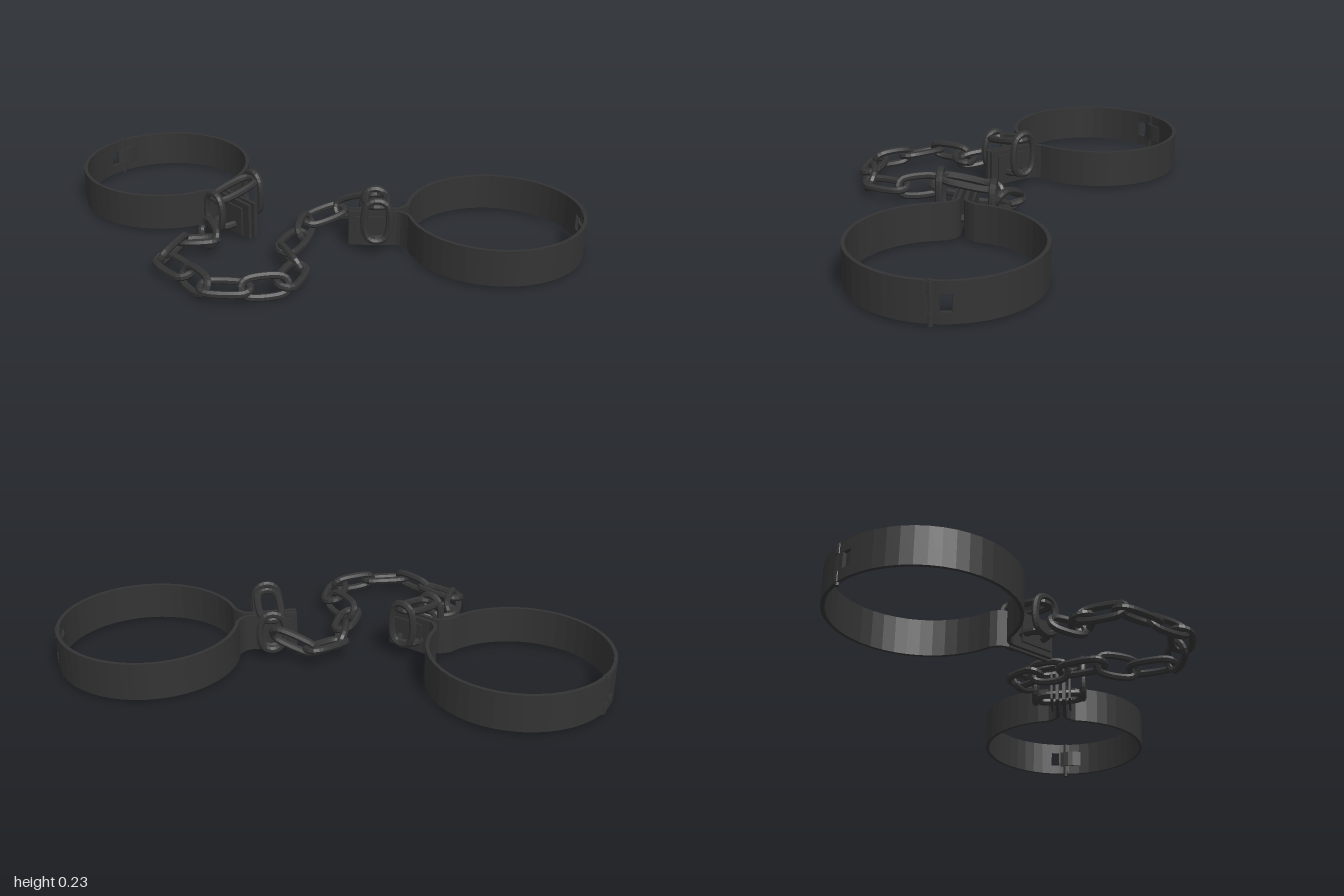
import * as THREE from 'three';

const iron = new THREE.MeshStandardMaterial({ color: 0x333333, flatShading: true });
const R = 0.323, Y0 = 0.01, Y1 = 0.147;

function part(name, geometry) {
  const mesh = new THREE.Mesh(geometry, iron);
  mesh.name = name;
  return mesh;
}

// Upright strip of metal that follows a plan path (x, -z)
function strip(name, points, thick, y0, y1) {
  const side = s => points.map((p, i) => {
    const a = points[Math.max(i - 1, 0)], b = points[Math.min(i + 1, points.length - 1)];
    const d = b.clone().sub(a).normalize();
    return new THREE.Vector2(p.x - d.y * s, p.y + d.x * s);
  });
  const shape = new THREE.Shape([...side(thick / 2), ...side(-thick / 2).reverse()]);
  const geo = new THREE.ExtrudeGeometry(shape, { depth: y1 - y0, bevelEnabled: false });
  geo.rotateX(-Math.PI / 2).translate(0, y0, 0);
  return part(name, geo);
}

function arc(a0, a1, n, r = R) {
  return Array.from({ length: n + 1 }, (_, i) => {
    const a = a0 + (a1 - a0) * i / n;
    return new THREE.Vector2(Math.cos(a) * r, Math.sin(a) * r);
  });
}

// Oval chain link lying in the local xz plane, long along x
function link(name, length, width = 0.095, tube = 0.0135) {
  const r = width / 2 - tube, h = Math.max(length / 2 - tube - r, 0.001);
  const pts = [];
  for (const s of [1, -1]) {
    for (let i = 0; i <= 4; i++) {
      const a = -Math.PI / 2 + Math.PI * i / 4;
      pts.push(new THREE.Vector3(s * (h + Math.cos(a) * r), 0, s * Math.sin(a) * r));
    }
  }
  const curve = new THREE.CatmullRomCurve3(pts, true, 'centripetal');
  return part(name, new THREE.TubeGeometry(curve, 28, tube, 7, true));
}

// Link spanning two points, rolled about its long axis
function linkBetween(name, a, b, roll, extra = 0.05, width = 0.095) {
  const dir = b.clone().sub(a);
  const mesh = link(name, dir.length() + extra, width);
  const x = dir.normalize();
  const z = new THREE.Vector3().crossVectors(x, new THREE.Vector3(0, 1, 0)).normalize();
  const y = new THREE.Vector3().crossVectors(z, x);
  mesh.quaternion.setFromRotationMatrix(new THREE.Matrix4().makeBasis(x, y, z));
  mesh.rotateX(roll);
  mesh.position.addVectors(a, b).multiplyScalar(0.5);
  return mesh;
}

// One cuff, with its clasp pointing along local +x
function cuff(name, x, z, angle) {
  const g = new THREE.Group();
  g.name = name;
  const v = (a, b) => new THREE.Vector2(a, b);
  const gap0 = Math.PI + 0.09, gap1 = Math.PI + 0.2;

  // Two half bands that flare outward into the clasp plates
  const flare = s => [v(0.54, 0.013 * s), v(0.365, 0.013 * s), v(0.347, 0.019 * s), v(0.333, 0.032 * s)];
  g.add(strip('longBand', [...flare(1), ...arc(0.16, gap0, 22)], 0.013, Y0, Y1));
  g.add(strip('shortBand', [...arc(gap1, Math.PI * 2 - 0.16, 21), ...flare(-1).reverse()], 0.013, Y0, Y1));

  // Hinge: rails around a small window, inner strap, knuckles and pin
  g.add(strip('hingeRail', arc(gap0 - 0.01, gap1 + 0.01, 2), 0.013, Y0, 0.048));
  g.add(strip('hingeRail', arc(gap0 - 0.01, gap1 + 0.01, 2), 0.013, 0.106, Y1));
  const strapPath = arc(Math.PI - 0.22, Math.PI + 0.08, 5).map((p, i) =>
    p.multiplyScalar(1 - 0.045 * Math.sin(Math.PI * i / 5)));
  g.add(strip('hingeStrap', strapPath, 0.01, 0.045, 0.11));
  const pin = part('hingePin', new THREE.CylinderGeometry(0.008, 0.008, 0.15, 8));
  pin.position.set(-R, 0.075, 0);
  g.add(pin);
  for (const y of [0.028, 0.127]) {
    const knuckle = part('hingeKnuckle', new THREE.CylinderGeometry(0.012, 0.012, 0.036, 8));
    knuckle.position.set(-R, y, 0);
    g.add(knuckle);
  }

  // Small outer plates of the clasp
  for (const s of [1, -1]) {
    const plate = part('claspPlate', new THREE.BoxGeometry(0.13, 0.11, 0.008));
    plate.position.set(0.455, 0.078, s * 0.035);
    g.add(plate);
  }

  // Links locked through and over the clasp
  const p = (y, s) => new THREE.Vector3(0.44, y, s);
  const upright = (linkName, s, bottom, top) => {
    const m = link(linkName, top - bottom, 0.115);
    m.rotation.set(-Math.PI / 2, Math.PI / 2, 0, 'YXZ');
    m.rotation.set(0, -Math.PI / 2, Math.PI / 2, 'YXZ');
    m.position.copy(p((bottom + top) / 2, s));
    return m;
  };
  g.add(upright('backUprightLink', -0.085, 0.045, 0.235));
  g.add(upright('frontUprightLink', 0.1, 0.03, 0.2));
  g.add(linkBetween('topLink', p(0.195, -0.075), p(0.165, 0.09), 0, 0.05, 0.1));
  g.add(linkBetween('throughLink', p(0.065, -0.07), p(0.055, 0.08), 0, 0.05, 0.1));

  g.position.set(x, 0, z);
  g.rotation.y = angle;
  return g;
}

export function createModel() {
  const model = new THREE.Group();
  model.name = 'shackles';
  model.add(cuff('rightCuff', -0.67, -0.195, -0.45));
  model.add(cuff('leftCuff', 0.665, -0.255, Math.PI + 0.37));

  // Loose chain lying between the cuffs
  const nodes = [
    [-0.34, 0.07, 0.13], [-0.27, 0.06, 0.2], [-0.375, 0.055, 0.245], [-0.38, 0.05, 0.385],
    [-0.25, 0.05, 0.455], [-0.145, 0.052, 0.52], [-0.01, 0.052, 0.475], [0.1, 0.052, 0.4],
    [0.095, 0.052, 0.26], [0.0, 0.052, 0.165], [0.005, 0.052, 0.02], [-0.01, 0.055, -0.09],
    [0.07, 0.07, -0.205], [0.2, 0.12, -0.205],
  ].map(n => new THREE.Vector3(...n));
  const chain = new THREE.Group();
  chain.name = 'chain';
  for (let i = 0; i < nodes.length - 1; i++) {
    chain.add(linkBetween('chainLink', nodes[i], nodes[i + 1], i % 2 ? 0.2 : 1.1, 0.06));
  }
  model.add(chain);
  return model;
}
